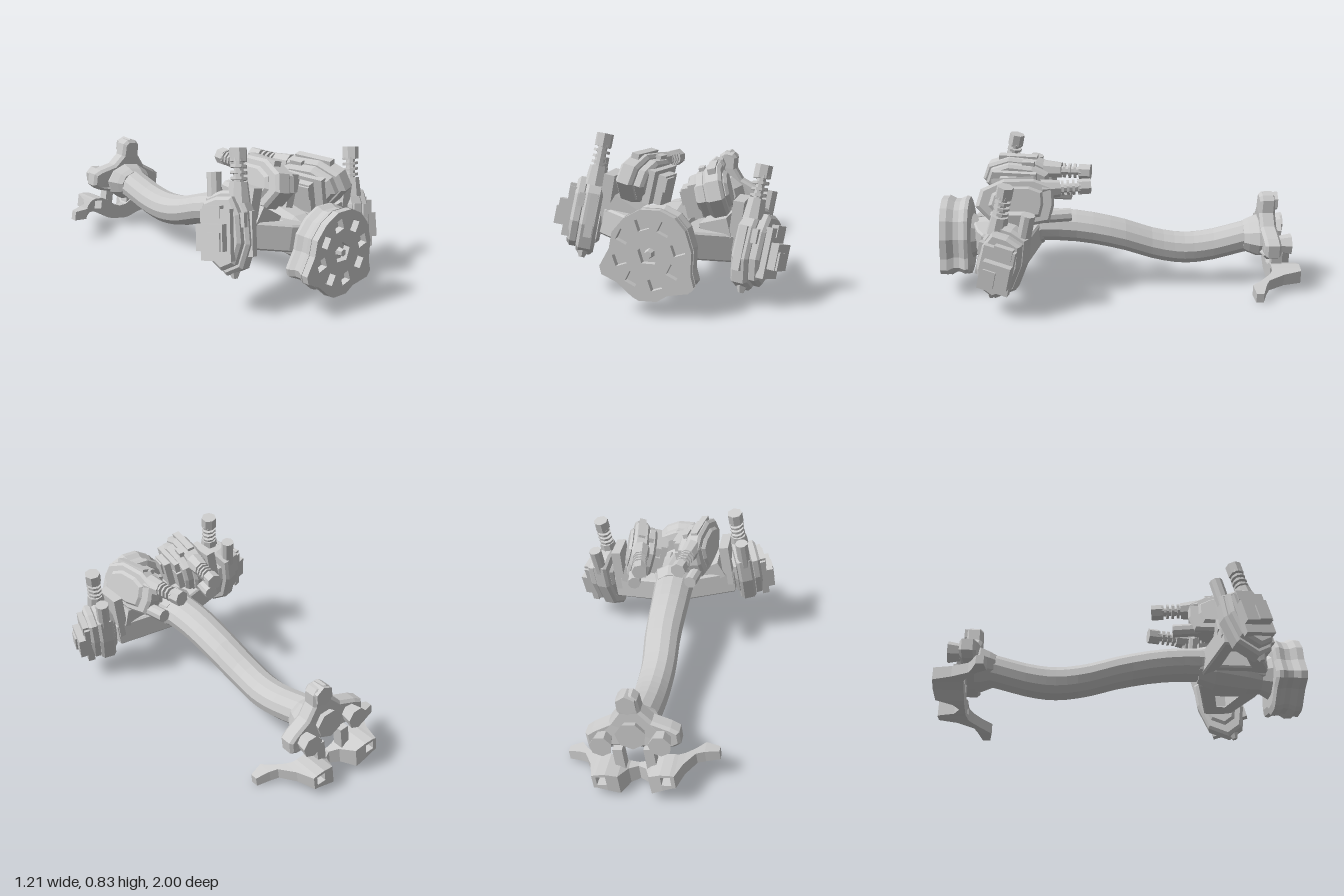
import * as THREE from 'three';

const mat = new THREE.MeshStandardMaterial({ color: 0xcccccc, flatShading: true, side: THREE.DoubleSide });
const rad = THREE.MathUtils.degToRad;

function add(parent, name, geo, x = 0, y = 0, z = 0) {
  const m = new THREE.Mesh(geo, mat);
  m.name = name;
  m.position.set(x, y, z);
  parent.add(m);
  return m;
}
const box = (w, h, d) => new THREE.BoxGeometry(w, h, d);
const cyl = (r1, r2, h, n = 8) => new THREE.CylinderGeometry(r1, r2, h, n);
const toShape = pts => new THREE.Shape(pts.map(p => new THREE.Vector2(...p)));
const toPath = pts => new THREE.Path(pts.map(p => new THREE.Vector2(...p)));
const extrude = (shape, depth, bevel = 0) => new THREE.ExtrudeGeometry(shape, {
  depth, bevelEnabled: bevel > 0, bevelSize: bevel, bevelThickness: bevel, bevelOffset: -bevel, bevelSegments: 1 });

// regular polygon points around (cx, cy)
function ngon(cx, cy, rx, n, a0 = 0, ry = rx) {
  return Array.from({ length: n }, (_, i) => {
    const a = a0 + i / n * Math.PI * 2;
    return [cx + rx * Math.cos(a), cy + ry * Math.sin(a)];
  });
}

// skin over rings [{z, pts}] running from +z to -z, closed at both ends
function loft(rings) {
  const n = rings[0].pts.length, pos = [];
  const P = (i, j) => [...rings[i].pts[j % n], rings[i].z];
  const mid = i => [0, 1].map(k => rings[i].pts.reduce((s, p) => s + p[k], 0) / n).concat(rings[i].z);
  const last = rings.length - 1;
  for (let j = 0; j < n; j++) {
    for (let i = 0; i < last; i++) {
      pos.push(...P(i, j), ...P(i + 1, j), ...P(i, j + 1));
      pos.push(...P(i, j + 1), ...P(i + 1, j), ...P(i + 1, j + 1));
    }
    pos.push(...mid(0), ...P(0, j), ...P(0, j + 1));
    pos.push(...mid(last), ...P(last, j + 1), ...P(last, j));
  }
  const g = new THREE.BufferGeometry();
  g.setAttribute('position', new THREE.Float32BufferAttribute(pos, 3));
  g.computeVertexNormals();
  return g;
}

// lobed end disc with a waisted rim and eight square pockets
function endDisc() {
  const g = new THREE.Group();
  g.name = 'endDisc';
  const C = [0, 0.31];
  const outline = [[-.245, .24], [-.235, .2], [-.16, .165], [-.08, .095], [-.05, .08], [.04, .08], [.09, .112],
    [.195, .13], [.22, .16], [.205, .22], [.21, .33], [.18, .43], [.13, .49], [.055, .525], [-.04, .525],
    [-.12, .48], [-.18, .41], [-.195, .33]];
  const scaled = s => outline.map(([x, y]) => [C[0] + (x - C[0]) * s, C[1] + (y - C[1]) * s]);
  const face = toShape(scaled(0.985));
  for (let i = 0; i < 8; i++) {
    const a = rad(12 + i * 45);
    face.holes.push(toPath(ngon(C[0] + .145 * Math.cos(a), C[1] + .145 * Math.sin(a), .04, 4, a + .9)));
  }
  face.holes.push(toPath(ngon(...C, .055, 5, .3)));
  add(g, 'discFace', extrude(face, .04), 0, 0, .952);
  add(g, 'discRim', loft([[.955, 1], [.92, .92], [.89, .92], [.86, .98], [.84, .96], [.83, .8]]
    .map(([z, s]) => ({ z, pts: scaled(s) }))));
  add(g, 'discHub', cyl(.018, .025, .04, 6), ...C, .98).rotation.x = Math.PI / 2;
  return g;
}

// sprung actuator: its axis is +y, its plates face s * x, its spring sits on the +z side
function actuator(s) {
  const g = new THREE.Group();
  g.name = 'actuator';
  const slab = (name, k, w, x) => {
    const prof = [[-.11, .17], [-.02, .2], [.08, .2], [.125, .1], [.135, -.06], [.09, -.18], [0, -.215], [-.1, -.13], [-.125, .03]]
      .map(([z, y]) => [z * k, y * k]);
    const geo = extrude(toShape(prof), w - .03, .015);
    geo.rotateY(-Math.PI / 2).translate((w - .03) / 2, 0, 0);
    add(g, name, geo, s * x);
  };
  slab('body', 1, .09, -.025);
  slab('bodySide', .86, .06, .04);
  slab('bodyBack', .7, .03, -.075);
  add(g, 'cover', box(.04, .25, .17), s * .08, -.01, 0);
  add(g, 'coverPlate', box(.05, .13, .15), s * .115, -.02, -.01);
  add(g, 'coverBlock', box(.03, .09, .07), s * .135, -.04, .02);
  add(g, 'coverStep', box(.04, .06, .1), s * .085, .1, -.02);
  add(g, 'frontRidge', box(.04, .22, .03), s * -.03, -.01, .125);
  add(g, 'frontLug', box(.03, .07, .03), s * .03, .06, .115);
  // spring strut
  const [sx, sz] = [s * -.02, .065];
  add(g, 'springSeat', cyl(.045, .056, .1), sx, .19, sz);
  add(g, 'springRod', cyl(.024, .024, .2), sx, .27, sz);
  for (let i = 0; i < 4; i++) {
    add(g, 'springCoil', cyl(.042, .042, .014, 9), sx, .255 + i * .03, sz).rotation.z = s * .12;
  }
  add(g, 'springCap', cyl(.044, .044, .065, 7), sx, .373, sz);
  // plain cylinder beside the spring
  add(g, 'sideCylinder', cyl(.037, .037, .3, 9), s * -.022, .14, -.08);
  return g;
}

// one side of the carrier: arm, upright and two actuators
function side(s) {
  const g = new THREE.Group();
  g.name = s > 0 ? 'leftCarrier' : 'rightCarrier';
  const plan = toShape([[.05, .82], [.16, .79], [.37, .67], [.37, .52], [.05, .44]].map(([x, z]) => [x * s, z]));
  plan.holes.push(toPath([[.15, .7], [.29, .635], [.29, .57], [.15, .54]].map(([x, z]) => [x * s, z])));
  const arm = extrude(plan, .12, .01);
  arm.rotateX(Math.PI / 2).translate(0, .085, 0);
  add(g, 'arm', arm);
  add(g, 'upright', box(.055, .25, .18), s * .335, .14, .6).rotation.z = s * .03;
  add(g, 'uprightFoot', box(.14, .1, .2), s * .24, .1, .6).rotation.z = s * .4;

  const outer = actuator(s);
  outer.position.set(s * .445, .04, .627);
  outer.rotation.set(rad(-12), s * rad(-15), s * rad(3), 'YZX');
  add(outer, 'footTip', cyl(.05, .015, .08, 5), s * -.02, -.19, .03);
  // the upper pair leans evenly in world space, so the shared roll is taken out
  const inner = actuator(-s);
  inner.position.set(s * .175, .255, .57);
  inner.rotation.set(rad(-90), s * rad(9.5), rad(s * 13 + 9), 'YZX');
  g.add(outer, inner);
  return g;
}

// bar of rectangular sections [x, low, top, back, front], listed from +x to -x
function bar(sections) {
  return loft(sections.map(([x, low, top, back, front]) => ({
    z: x, pts: [[-front, low], [-back, low], [-back, top], [-front, top]] }))).rotateY(Math.PI / 2);
}

// three-lobed rear flange with the swept bracket under it
function rearMount() {
  const g = new THREE.Group();
  g.name = 'rearMount';
  g.position.x = -.02;
  const half = [[.03, .225], [.055, .2], [.06, .13], [.11, .07], [.2, .035], [.24, .01], [.24, -.06], [.2, -.085], [.08, -.1]];
  const both = h => [...h, ...h.slice().reverse().map(([x, y]) => [-x, y])];
  const flange = extrude(toShape(both(half)), .06, .015);
  const p = flange.attributes.position;
  for (let i = 0; i < p.count; i++) {
    p.setZ(i, p.getZ(i) - .12 * Math.abs(p.getX(i)) - .05 * Math.max(0, p.getY(i)));
  }
  flange.computeVertexNormals();
  add(g, 'flange', flange, 0, 0, -.835);
  add(g, 'collar', loft([[-.69, .105], [-.72, .125], [-.77, .15], [-.8, .15]]
    .map(([z, r]) => ({ z, pts: ngon(0, -.03, r, 10, 0, r * .75) }))));
  add(g, 'topLobe', cyl(.05, .055, .08, 6), 0, .18, -.835).rotation.x = Math.PI / 2;
  add(g, 'centreBoss', cyl(.06, .08, .06, 7), 0, .01, -.87).rotation.x = Math.PI / 2;
  for (const s of [-1, 1]) {
    add(g, 'sideBoss', cyl(.045, .06, .08, 7), s * .15, -.02, -.9).rotation.x = Math.PI / 2;
    add(g, 'bracketPost', box(.05, .13, .06), s * .08, -.13, -.88);
  }
  // swept bracket: solid wing and centre bars, joined by two rails around each window
  const wing = [[.4, -.03, .022, -.765, -.725], [.33, -.022, .04, -.79, -.714], [.29, -.015, .046, -.81, -.765],
    [.24, -.01, .055, -.9, -.815], [.21, -.012, .062, -1, -.835], [.19, -.015, .068, -1, -.84]];
  const inner = [.14, -.03, .07, -1, -.84];
  const centre = [inner, [.08, -.058, .05, -.99, -.84], [.045, -.065, .025, -.9, -.84], [0, -.065, .015, -.87, -.84]];
  const flip = list => list.map(([x, ...r]) => [-x, ...r]).reverse();
  const rail = (pick) => [wing[wing.length - 1], inner].map(([x, low, top, ...r]) => [x, ...pick(low, top), ...r]);
  const bars = [wing, rail(low => [low, .004]), rail((low, top) => [.054, top])];
  add(g, 'bracketCentre', bar([...centre, ...flip(centre.slice(0, -1))]), 0, -.22);
  for (const b of bars) {
    add(g, 'bracketWing', bar(b), 0, -.22);
    add(g, 'bracketWing', bar(flip(b)), 0, -.22);
  }
  return g;
}

export function createModel() {
  const root = new THREE.Group();
  root.name = 'strutAssembly';
  root.add(endDisc());

  // curved main tube
  const path = new THREE.CatmullRomCurve3([[0, .3, .86], [0, .33, .7], [0, .36, .5], [-.01, .35, .25], [-.015, .3, 0],
    [-.03, .235, -.2], [-.03, .212, -.36], [-.03, .225, -.5], [-.03, .275, -.7], [-.03, .29, -.78]]
    .map(p => new THREE.Vector3(...p)));
  const rings = path.getPoints(24).map(c => ({
    z: c.z, pts: ngon(c.x, c.y, .103 + .03 * Math.max(-.2, Math.min(.5, c.z)), 12, 0, .09) }));
  add(root, 'mainTube', loft(rings));
  add(root, 'housing', loft([[.85, .15, .3], [.78, .105, .3], [.7, .13, .32], [.52, .14, .35], [.43, .11, .36]]
    .map(([z, r, y]) => ({ z, pts: ngon(0, y, r, 10, 0, r * .9) }))));

  // carriers and rear mount share a slight roll
  const roll = new THREE.Group();
  roll.name = 'rolledParts';
  roll.position.y = .31;
  roll.rotation.z = rad(-9);
  roll.add(side(1), side(-1), rearMount());
  root.add(roll);
  return root;
}
